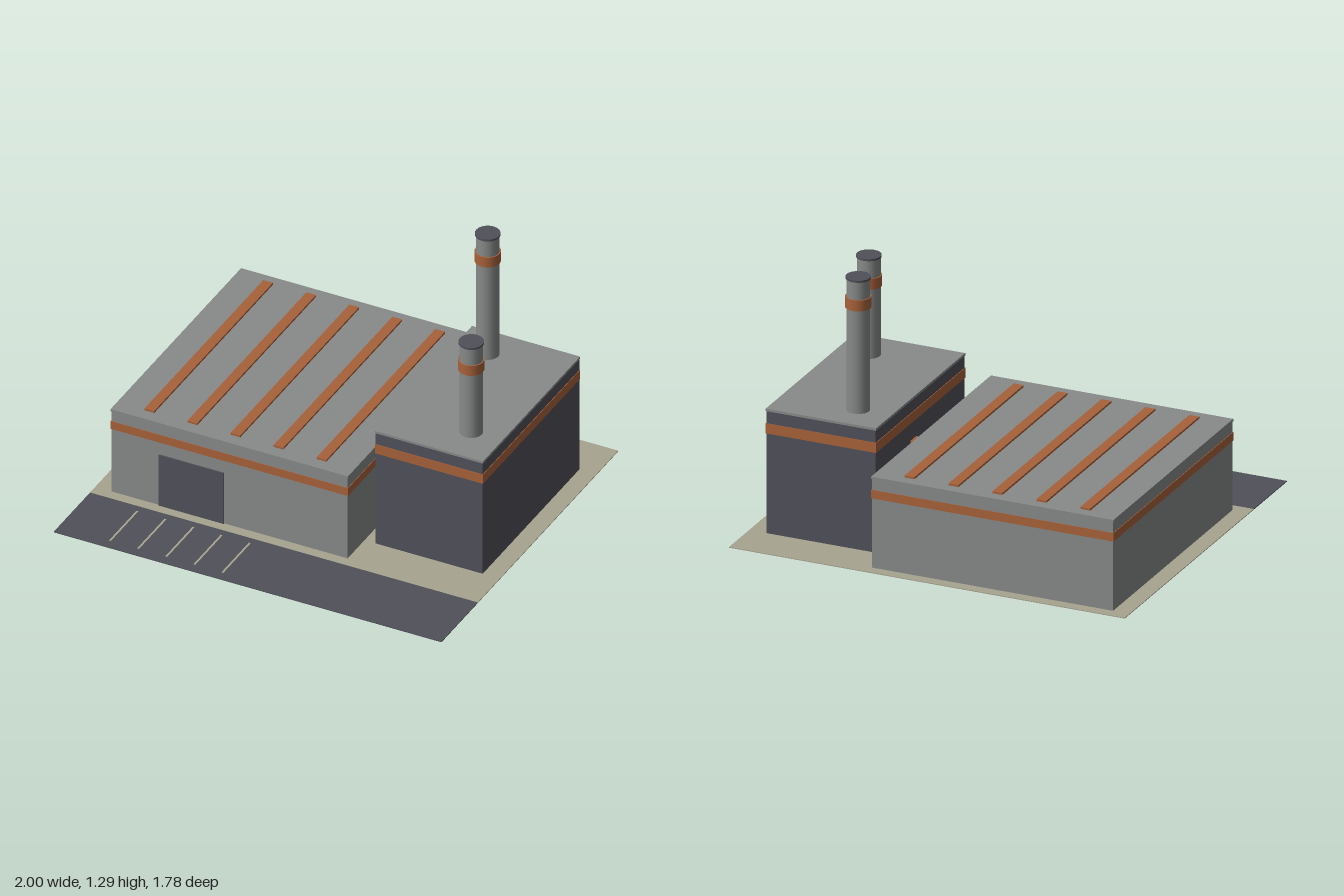
import * as THREE from 'three';

const paint = (name, color) => {
  const m = new THREE.MeshStandardMaterial({ color });
  m.name = name;
  return m;
};

export function createModel() {
  const grey = paint('concrete grey', 0x888a8a);
  const dark = paint('dark slate', 0x50505a);
  const rust = paint('rust orange', 0xa8623a);
  const sand = paint('sand', 0xa8a490);

  const model = new THREE.Group();
  model.name = 'factory';

  const group = (name) => {
    const g = new THREE.Group();
    g.name = name;
    model.add(g);
    return g;
  };
  // Box given by its limits on each axis
  const block = (parent, name, mat, [x0, x1], [y0, y1], [z0, z1]) => {
    const mesh = new THREE.Mesh(new THREE.BoxGeometry(x1 - x0, y1 - y0, z1 - z0), mat);
    mesh.position.set((x0 + x1) / 2, (y0 + y1) / 2, (z0 + z1) / 2);
    mesh.name = name;
    parent.add(mesh);
  };
  const grow = ([a, b], d) => [a - d, b + d];
  const G = 0.004; // ground thickness

  // Ground and parking strip
  const site = group('site');
  block(site, 'yard', sand, [-1, 1], [0, G], [-0.89, 0.525]);
  block(site, 'parkingStrip', dark, [-1, 1], [0, G], [0.525, 0.89]);
  for (let i = 0; i < 5; i++) {
    const x = -0.735 + i * 0.145;
    block(site, 'parkingLine', sand, [x - 0.005, x + 0.005], [G, G + 0.002], [0.565, 0.84]);
  }

  // Walls, painted band and thin roof slab
  const building = (name, wallMat, x, z, top, band) => {
    const g = group(name);
    block(g, 'walls', wallMat, x, [G, top - 0.012], z);
    block(g, 'band', rust, grow(x, 0.003), band, grow(z, 0.003));
    block(g, 'roof', grey, grow(x, 0.003), [top - 0.012, top], grow(z, 0.003));
    return g;
  };

  // Long hall with roof strips and a loading door
  const hall = building('hall', grey, [-0.917, 0.302], [-0.837, 0.472], 0.458, [0.35, 0.392]);
  for (let i = 0; i < 5; i++) {
    const x = -0.752 + i * 0.222;
    block(hall, 'roofStrip', rust, [x - 0.025, x + 0.025], [0.458, 0.468], [-0.785, 0.412]);
  }
  block(hall, 'loadingDoor', dark, [-0.67, -0.335], [G, 0.283], [0.472, 0.478]);

  // Boiler house, joined to the hall by a duct
  const house = building('boilerHouse', dark, [0.36, 0.912], [-0.67, 0.303], 0.625, [0.502, 0.552]);
  block(house, 'duct', rust, [0.3, 0.362], [0.368, 0.415], [-0.29, -0.225]);

  // Chimneys with a band and a dark cap
  const chimney = (x, z, top, bandY) => {
    const g = group('chimney');
    const drum = (name, mat, r, y0, y1) => {
      const mesh = new THREE.Mesh(new THREE.CylinderGeometry(r, r, y1 - y0, 20), mat);
      mesh.position.set(x, (y0 + y1) / 2, z);
      mesh.name = name;
      g.add(mesh);
    };
    drum('stack', grey, 0.055, 0.62, top - 0.01);
    drum('stackBand', rust, 0.061, bandY - 0.027, bandY + 0.027);
    drum('cap', dark, 0.059, top - 0.01, top);
  };
  chimney(0.525, -0.503, 1.29, 1.165);
  chimney(0.753, 0.108, 1.123, 0.998);

  return model;
}
